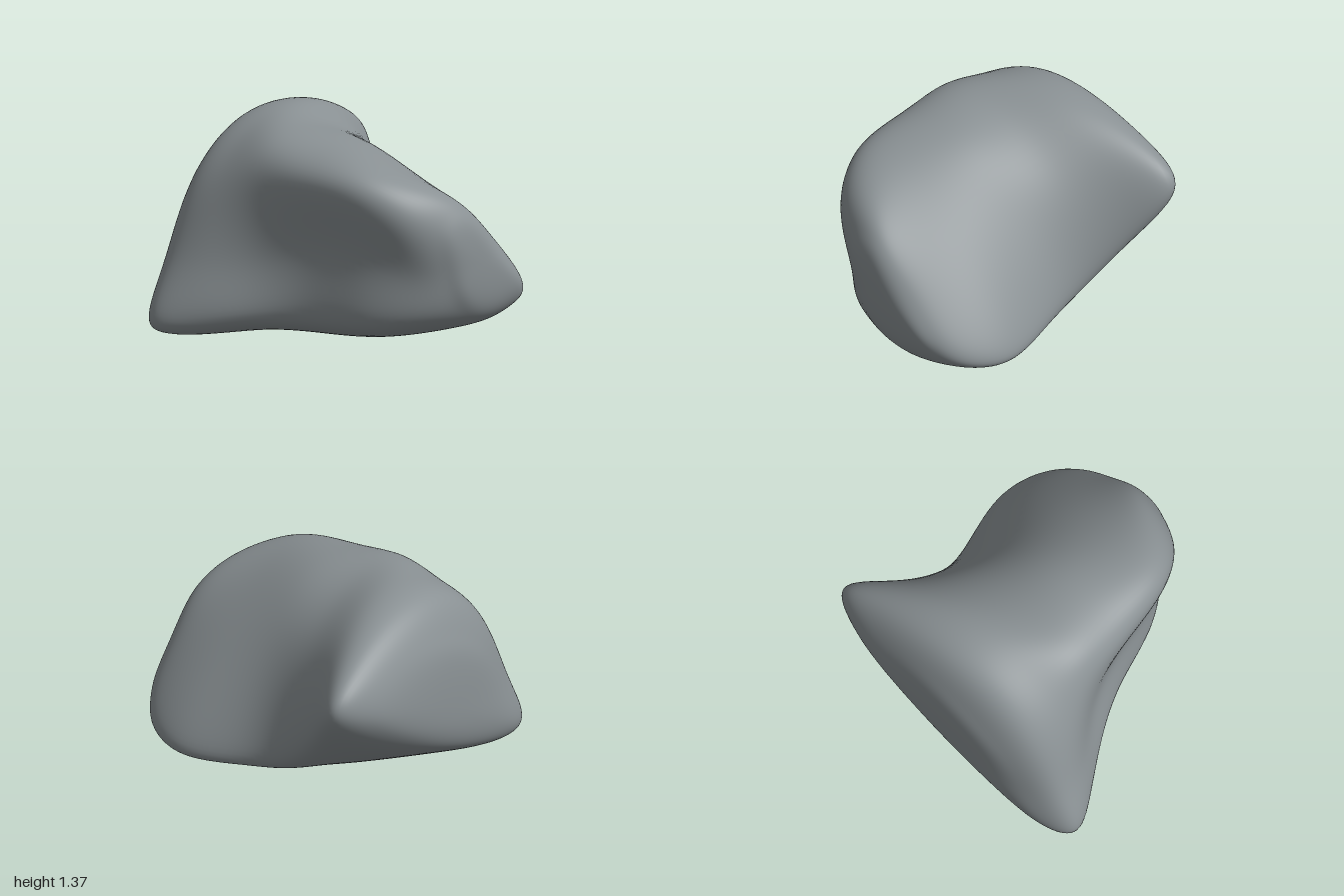
import * as THREE from 'three';

// Cross-sections from front to back. Each ring runs counter-clockwise seen from the front:
// right ridge, upper right, top, upper left, left, lower left, bottom, lower right.
const sections = [
  [0.93, [.58, .38], [.35, .67], [.05, .94], [-.18, .86], [-.14, .58], [-.04, .34], [.2, .22], [.47, .24]],
  [0.8, [.73, .32], [.37, .75], [-.08, 1.08], [-.38, .96], [-.29, .56], [-.2, .24], [.25, .13], [.62, .18]],
  [0.5, [.83, .28], [.37, .87], [-.2, 1.21], [-.54, 1.1], [-.46, .62], [-.4, .16], [.2, .08], [.69, .14]],
  [0.1, [.77, .3], [.39, .97], [-.15, 1.3], [-.58, 1.14], [-.53, .62], [-.52, .14], [.1, .06], [.6, .16]],
  [-0.25, [.76, .39], [.47, 1.05], [-.2, 1.345], [-.61, 1.11], [-.64, .52], [-.66, .11], [0, .05], [.52, .19]],
  [-0.55, [.88, .64], [.59, 1.18], [-.1, 1.365], [-.63, 1.04], [-.81, .47], [-.84, .06], [-.25, .05], [.46, .29]],
  [-0.8, [.99, .86], [.73, 1.17], [0, 1.31], [-.57, 1.0], [-.85, .46], [-.97, .06], [-.45, .08], [.42, .41]],
  [-0.93, [.8, .85], [.54, 1.07], [.02, 1.12], [-.44, .87], [-.69, .45], [-.81, .12], [-.34, .18], [.28, .45]],
];
const FRONT = [.17, .58], BACK = [0, .62];

// Shrink a section toward a centre to round off an end
function shrink(section, z, k, [cx, cy]) {
  return [z, ...section.slice(1).map(([x, y]) => [cx + (x - cx) * k, cy + (y - cy) * k])];
}

// Closed cubic B-spline that passes through the points, one unit of t per point
function smoothLoop(points) {
  const n = points.length;
  let ctrl = points.map(p => p.clone());
  for (let k = 0; k < 40; k++) {
    ctrl = ctrl.map((c, i) => c.clone().add(points[i])
      .addScaledVector(c, -4 / 6)
      .addScaledVector(ctrl[(i + n - 1) % n], -1 / 6)
      .addScaledVector(ctrl[(i + 1) % n], -1 / 6));
  }
  return t => {
    const i = Math.floor(t), f = t - i, g = 1 - f;
    const w = [g * g * g, 3 * f * f * f - 6 * f * f + 4, 3 * g * g * g - 6 * g * g + 4, f * f * f];
    const out = new THREE.Vector3();
    w.forEach((wk, k) => out.addScaledVector(ctrl[(i + k - 1 + n) % n], wk / 6));
    return out;
  };
}

function bodyGeometry(rows, cols) {
  const all = [
    shrink(sections[0], .985, .62, FRONT),
    ...sections,
    shrink(sections[sections.length - 1], -.985, .62, BACK),
  ];
  const frontPole = new THREE.Vector3(...FRONT, 1);
  const backPole = new THREE.Vector3(...BACK, -1);

  // Lengthwise loops, each running over one side and back along the opposite side
  const span = all.length + 1;
  const side = p => all.map(s => new THREE.Vector3(...s[p + 1], s[0]));
  const loops = [0, 1, 2, 3].map(p =>
    smoothLoop([frontPole, ...side(p), backPole, ...side(p + 4).reverse()]));

  // Rings between the two end points
  const pos = [], index = [];
  for (let i = 1; i < rows; i++) {
    const t = span * i / rows;
    const ring = smoothLoop([...loops.map(l => l(t)), ...loops.map(l => l(2 * span - t))]);
    for (let j = 0; j < cols; j++) pos.push(...ring(8 * j / cols).toArray());
  }
  const first = pos.length / 3, last = first + 1;
  pos.push(...frontPole.toArray(), ...backPole.toArray());

  const id = (i, j) => i * cols + (j % cols);
  for (let j = 0; j < cols; j++) {
    index.push(first, id(0, j), id(0, j + 1));
    for (let i = 0; i < rows - 2; i++) {
      index.push(id(i, j), id(i + 1, j), id(i, j + 1));
      index.push(id(i + 1, j), id(i + 1, j + 1), id(i, j + 1));
    }
    index.push(last, id(rows - 2, j + 1), id(rows - 2, j));
  }

  const geo = new THREE.BufferGeometry();
  geo.setAttribute('position', new THREE.Float32BufferAttribute(pos, 3));
  geo.setIndex(index);
  geo.computeVertexNormals();
  return geo;
}

export function createModel() {
  const group = new THREE.Group();
  group.name = 'smoothStone';

  const stoneGrey = new THREE.MeshStandardMaterial({ color: 0x8a9194 });
  stoneGrey.name = 'stoneGrey';

  const body = new THREE.Mesh(bodyGeometry(88, 96), stoneGrey);
  body.name = 'stoneBody';

  // Rest the stone on the ground
  body.geometry.computeBoundingBox();
  body.position.y = -body.geometry.boundingBox.min.y;
  group.add(body);
  return group;
}
